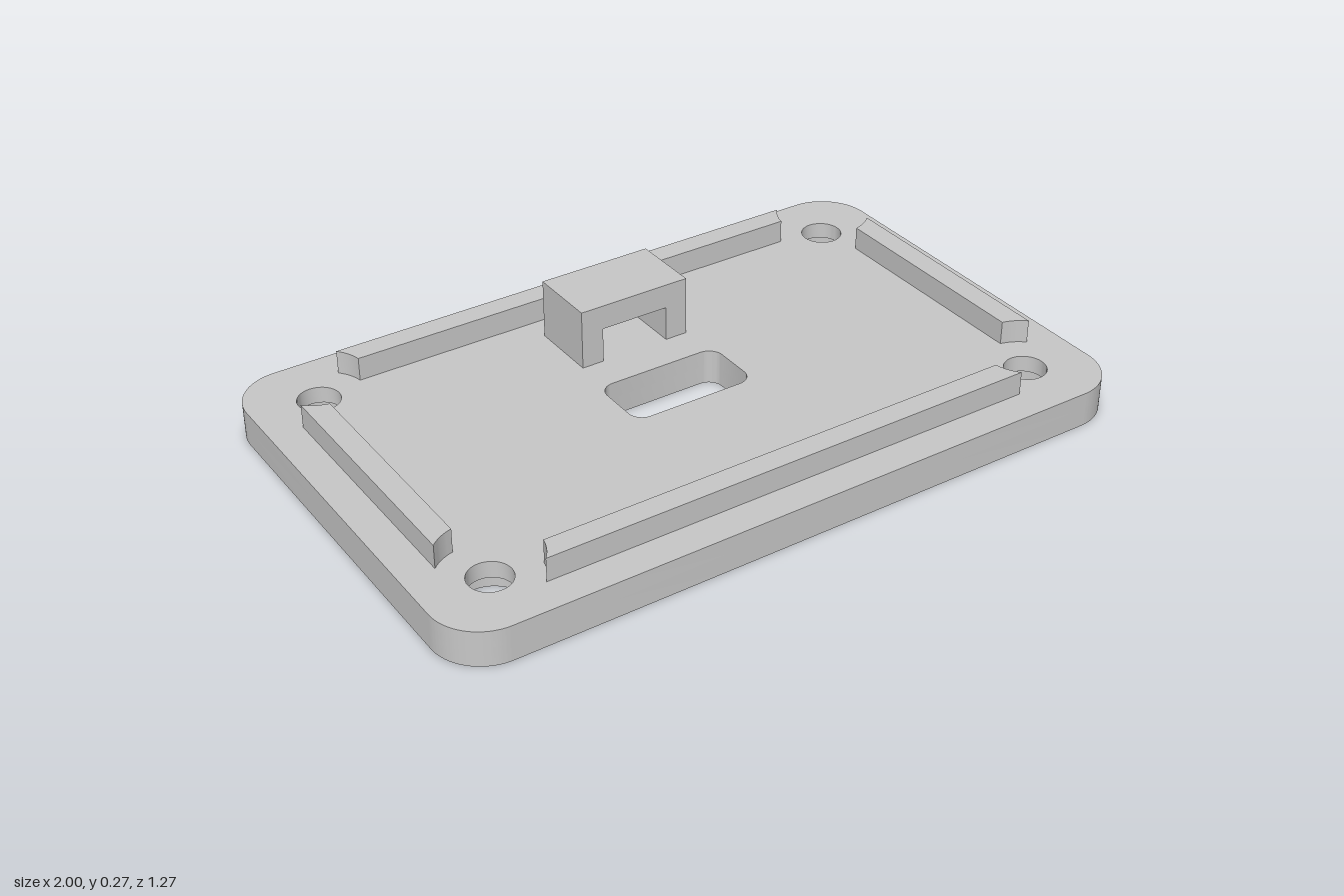
import * as THREE from 'three';
import { toCreasedNormals } from 'three/addons/utils/BufferGeometryUtils.js';

const grey = new THREE.MeshStandardMaterial({ color: 0xc8c8c8 });
grey.name = 'plain grey';

const HOLE_X = 0.816, HOLE_Z = 0.451;

// Rounded rectangle centred on the origin
function roundedRect(path, hw, hh, r) {
  path.moveTo(hw, -hh + r);
  path.absarc(hw - r, hh - r, r, 0, Math.PI / 2);
  path.absarc(-hw + r, hh - r, r, Math.PI / 2, Math.PI);
  path.absarc(-hw + r, -hh + r, r, Math.PI, Math.PI * 1.5);
  path.absarc(hw - r, -hh + r, r, Math.PI * 1.5, Math.PI * 2);
  path.closePath();
  return path;
}

// Extrude a floor-plan shape upward from y0 to y1
function slab(name, shape, y0, y1) {
  let g = new THREE.ExtrudeGeometry(shape, { depth: y1 - y0, bevelEnabled: false, curveSegments: 20 });
  g.rotateX(-Math.PI / 2);
  g.translate(0, y0, 0);
  const mesh = new THREE.Mesh(toCreasedNormals(g, 0.5), grey);
  mesh.name = name;
  return mesh;
}

// Plate layer with slot and four corner holes
function plateLayer(name, holeRadius, y0, y1) {
  const shape = roundedRect(new THREE.Shape(), 1, 0.634, 0.14);
  shape.holes.push(roundedRect(new THREE.Path(), 0.182, 0.093, 0.042));
  for (const sx of [-1, 1]) for (const sz of [-1, 1]) {
    const hole = new THREE.Path();
    hole.absarc(sx * HOLE_X, sz * HOLE_Z, holeRadius, 0, Math.PI * 2);
    shape.holes.push(hole);
  }
  return slab(name, shape, y0, y1);
}

// Rail along u between v0 and v1, its ends scooped around the corner holes (hu, hv)
function railShape(v0, v1, hu, hv, swap, side) {
  const R = 0.133, right = [];
  for (let i = 0; i <= 8; i++) {
    const v = v0 + (v1 - v0) * i / 8;
    right.push([hu - Math.sqrt(R * R - (v - hv) ** 2), v]);
  }
  const left = right.map(([u, v]) => [-u, v]).reverse();
  return new THREE.Shape([...right, ...left].map(([u, v]) =>
    swap ? new THREE.Vector2(v * side, u) : new THREE.Vector2(u, v * side)));
}

export function createModel() {
  const model = new THREE.Group();
  model.name = 'mountingPlate';

  // Base: wide counterbores below, narrow screw holes above
  model.add(plateLayer('plateBottom', 0.093, 0, 0.053));
  model.add(plateLayer('plateTop', 0.058, 0.053, 0.1));

  // Locating rails along the four edges
  for (const side of [-1, 1]) {
    model.add(slab('longRail', railShape(0.475, 0.54, HOLE_X, HOLE_Z, false, side), 0.1, 0.167));
    model.add(slab('shortRail', railShape(0.842, 0.907, HOLE_Z, HOLE_X, true, side), 0.1, 0.167));
  }

  // Strap bridge behind the slot
  const bridge = new THREE.Shape([
    [-0.165, 0.1], [-0.1, 0.1], [-0.1, 0.2], [0.1, 0.2],
    [0.1, 0.1], [0.165, 0.1], [0.165, 0.27], [-0.165, 0.27],
  ].map(([x, y]) => new THREE.Vector2(x, y)));
  const g = new THREE.ExtrudeGeometry(bridge, { depth: 0.2, bevelEnabled: false });
  g.translate(0, 0, -0.4);
  const mesh = new THREE.Mesh(g, grey);
  mesh.name = 'strapBridge';
  model.add(mesh);

  return model;
}
